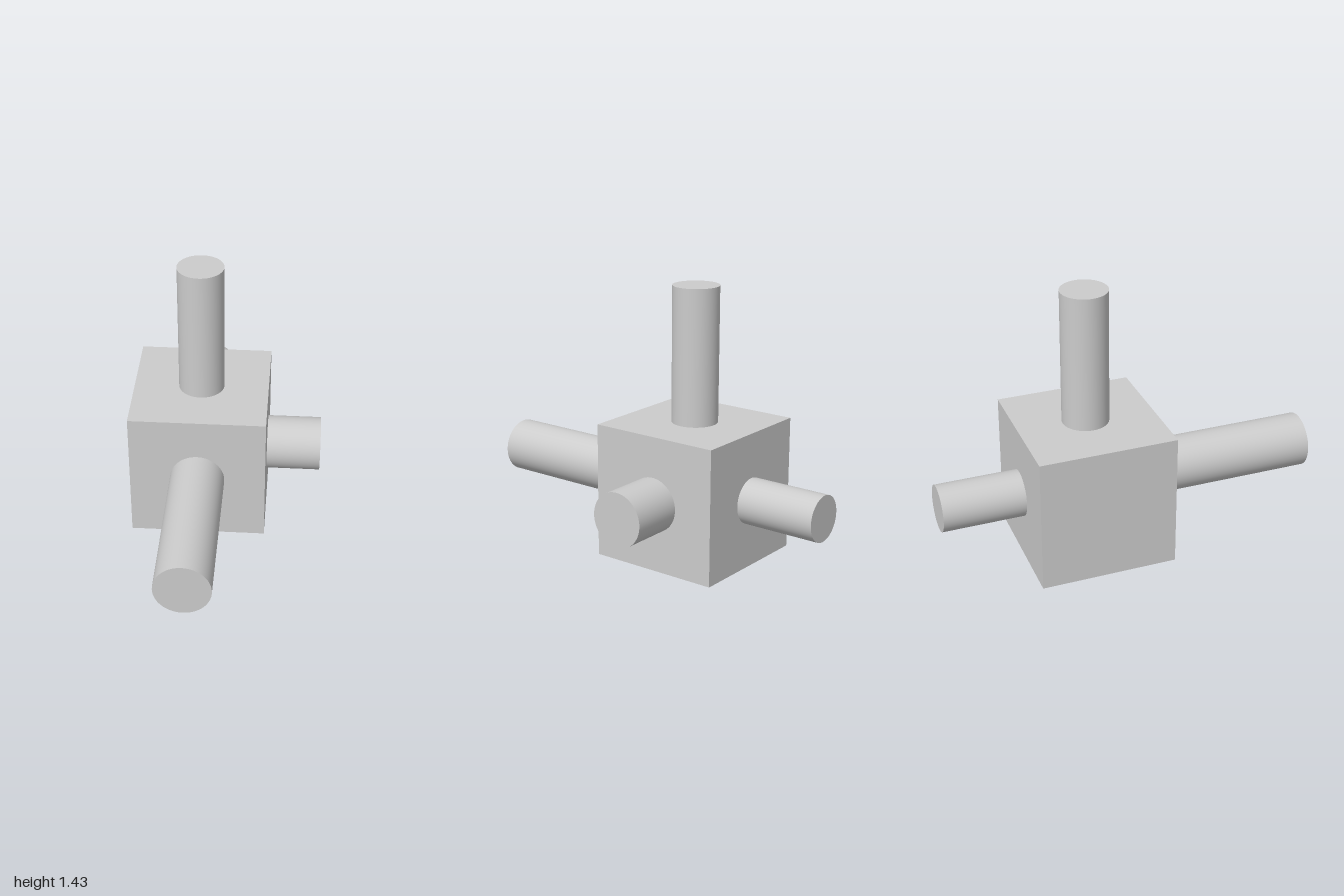
import * as THREE from 'three';

const SIZE = 0.714;
const HALF = SIZE / 2;

export function createModel() {
  const model = new THREE.Group();
  model.name = 'blockWithRods';
  const material = new THREE.MeshStandardMaterial({ color: 0xcccccc });

  // Block and rods are built around the block's centre
  const body = new THREE.Group();
  body.name = 'body';
  body.position.set(-0.143, HALF, -0.214);
  model.add(body);

  const block = new THREE.Mesh(new THREE.BoxGeometry(SIZE, SIZE, SIZE), material);
  block.name = 'block';
  body.add(block);

  // Round rod standing out from the block face that looks along direction
  const up = new THREE.Vector3(0, 1, 0);
  function addRod(name, direction, radius, length) {
    const rod = new THREE.Mesh(new THREE.CylinderGeometry(radius, radius, length, 64), material);
    rod.name = name;
    const axis = new THREE.Vector3(...direction);
    rod.quaternion.setFromUnitVectors(up, axis);
    rod.position.copy(axis).multiplyScalar(HALF + length / 2);
    body.add(rod);
  }

  addRod('topRod', [0, 1, 0], 0.121, 0.714);
  addRod('frontRod', [0, 0, 1], 0.143, 0.857);
  addRod('backRod', [0, 0, -1], 0.121, 0.429);
  addRod('leftRod', [1, 0, 0], 0.143, 0.286);

  return model;
}
